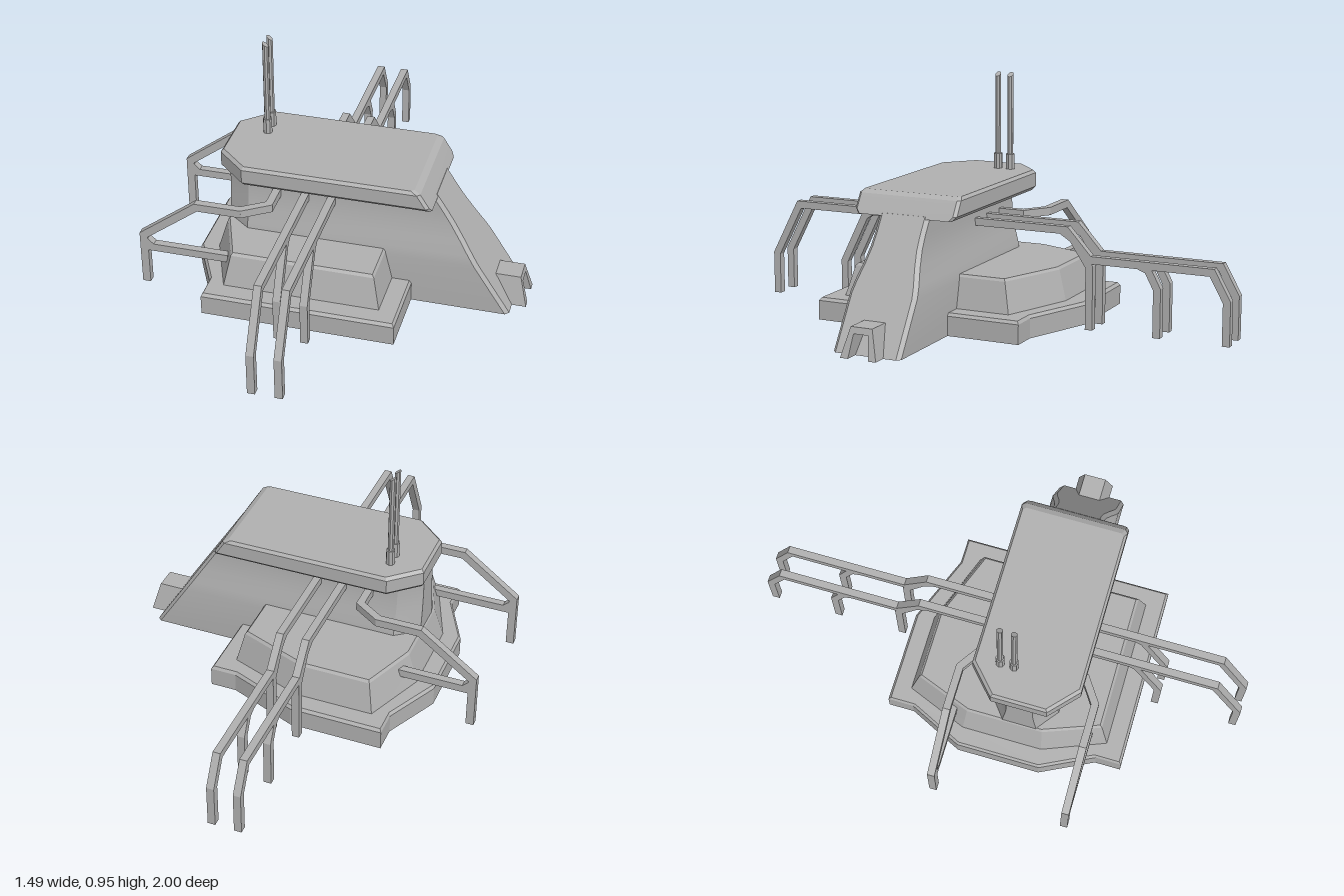
import * as THREE from 'three';
import { toCreasedNormals } from 'three/addons/utils/BufferGeometryUtils.js';

const MID = 0.165; // z of the hull's centre line
const grey = new THREE.MeshStandardMaterial({ color: 0xb0b0b0 });
grey.name = 'hull grey';

function add(parent, name, geometry) {
  const mesh = new THREE.Mesh(geometry, grey);
  mesh.name = name;
  parent.add(mesh);
  return mesh;
}

// Solid from stacked rings of [x, y, z], listed front-left, front-right, back-right, back-left
function loft(rings, crease = 0.35) {
  const pos = [];
  const tri = (a, b, c) => pos.push(...a, ...b, ...c);
  for (let k = 0; k < rings.length - 1; k++) {
    const lo = rings[k], hi = rings[k + 1], n = lo.length;
    for (let i = 0; i < n; i++) {
      const j = (i + 1) % n;
      tri(lo[i], lo[j], hi[j]);
      tri(lo[i], hi[j], hi[i]);
    }
  }
  const cap = (ring, up) => {
    const flat = ring.map(p => new THREE.Vector2(p[0], -p[2]));
    for (const [a, b, c] of THREE.ShapeUtils.triangulateShape(flat, [])) {
      if (up) tri(ring[a], ring[b], ring[c]);
      else tri(ring[a], ring[c], ring[b]);
    }
  };
  cap(rings[0], false);
  cap(rings[rings.length - 1], true);
  const g = new THREE.BufferGeometry();
  g.setAttribute('position', new THREE.Float32BufferAttribute(pos, 3));
  return toCreasedNormals(g, crease);
}

// Footprint of [x, z] points at height y, scaled about the deck centre
const level = (pts, y, s = 1) =>
  pts.map(([x, z]) => [-0.13 + (x + 0.13) * s, y, 0.1 + (z - 0.1) * s]);

// Symmetric hull outline with cut corners at both ends
function outline(y, half, left, cutX, cutZ, right, nip) {
  const f = MID + half, b = MID - half;
  return [
    [left, y, f - cutZ], [left + cutX, y, f], [right - nip, y, f], [right, y, f - nip],
    [right, y, b + nip], [right - nip, y, b], [left + cutX, y, b], [left, y, b + cutZ],
  ];
}

// Flat bar of thickness t along a 2D path with mitred corners, extruded to the given width
function bar(path, t = 0.032, width = 0.03) {
  const pts = path.map(p => new THREE.Vector2(...p));
  const left = [], right = [];
  pts.forEach((p, i) => {
    const d0 = pts[i].clone().sub(pts[Math.max(i - 1, 0)]).normalize();
    const d1 = pts[Math.min(i + 1, pts.length - 1)].clone().sub(p).normalize();
    if (i === 0) d0.copy(d1);
    if (i === pts.length - 1) d1.copy(d0);
    const n0 = new THREE.Vector2(-d0.y, d0.x);
    const m = n0.clone().add(new THREE.Vector2(-d1.y, d1.x)).normalize();
    m.multiplyScalar(t / 2 / m.dot(n0));
    left.push(p.clone().add(m));
    right.unshift(p.clone().sub(m));
  });
  const g = new THREE.ExtrudeGeometry(new THREE.Shape([...left, ...right]), { depth: width, bevelEnabled: false });
  return g.translate(0, 0, -width / 2);
}

export function createModel() {
  const model = new THREE.Group();
  model.name = 'walkerPlatform';

  // Low deck
  const deck = [[-0.56, 0.28], [-0.455, 0.49], [-0.455, 0.595], [0.305, 0.595], [0.305, -0.275],
    [0.2, -0.275], [-0.08, -0.385], [-0.455, -0.385], [-0.455, -0.28], [-0.56, -0.06]];
  add(model, 'deck', loft([level(deck, 0), level(deck, 0.078), level(deck, 0.09, 0.98)], 0.1));

  // Raised step with sloped sides
  const stepLow = [[-0.49, 0.27], [-0.39, 0.52], [0.23, 0.52], [0.23, -0.2], [-0.07, -0.31],
    [-0.39, -0.31], [-0.49, -0.06]];
  const stepHigh = [[-0.45, 0.26], [-0.365, 0.485], [0.2, 0.485], [0.2, -0.17], [-0.08, -0.275],
    [-0.365, -0.275], [-0.45, -0.05]];
  add(model, 'step', loft([level(stepLow, 0.08), level(stepHigh, 0.21), level(stepHigh, 0.22, 0.975)], 0.1));

  // Hull: flared flanks and raked end
  const sections = [[0, 0.142], [0.2, 0.142], [0.24, 0.135], [0.3, 0.12], [0.36, 0.109], [0.41, 0.106], [0.475, 0.106]];
  add(model, 'hull', loft(sections.map(([y, half]) =>
    outline(y, half, -0.445, 0.09, half * 0.5, 0.69 - y * 0.64, 0.015)), 0.4));

  // Overhanging roof
  add(model, 'roof', loft([
    outline(0.465, 0.2, -0.45, 0.11, 0.1, 0.39, 0.01),
    outline(0.482, 0.217, -0.46, 0.115, 0.105, 0.381, 0.012),
    outline(0.538, 0.217, -0.46, 0.115, 0.105, 0.346, 0.012),
    outline(0.55, 0.207, -0.45, 0.112, 0.102, 0.322, 0.012),
  ], 0.1));

  // Arched dock at the raked end
  const arch = new THREE.Shape([[0.075, 0], [0.045, 0.115], [-0.045, 0.115], [-0.075, 0],
    [-0.042, 0], [-0.03, 0.09], [0.03, 0.09], [0.042, 0]].map(p => new THREE.Vector2(...p)));
  const dock = new THREE.ExtrudeGeometry(arch, { depth: 0.145, bevelEnabled: false });
  dock.rotateY(Math.PI / 2).translate(0.6, 0, MID);
  const dp = dock.attributes.position;
  for (let i = 0; i < dp.count; i++) {
    if (dp.getX(i) > 0.7) dp.setX(i, 0.745 - dp.getY(i) * 0.26);
  }
  dock.computeVertexNormals();
  add(model, 'dock', dock);

  // Twin masts with slanted tips
  for (const z of [0.053, 0.108]) {
    add(model, 'mastSocket', toCreasedNormals(new THREE.CylinderGeometry(0.018, 0.018, 0.07, 8), 0.3))
      .position.set(-0.323, 0.577, z);
    const rod = new THREE.CylinderGeometry(0.0125, 0.0125, 0.4, 8).translate(0, 0.737, 0);
    const p = rod.attributes.position;
    for (let i = 0; i < p.count; i++) {
      if (p.getY(i) > 0.8) p.setY(i, 0.937 - p.getX(i) * 0.7);
    }
    add(model, 'mast', toCreasedNormals(rod, 0.3)).position.set(-0.323, 0, z);
  }

  // Side gantries, drawn as [z, y] paths
  const gantry = {
    frontBeam: [[0.16, 0.386], [0.872, 0.386], [0.985, 0.17], [0.985, 0]],
    frontInnerLeg: [[0.53, 0.386], [0.56, 0.366], [0.657, 0.17], [0.657, 0]],
    rearBeam: [[0.16, 0.386], [-0.332, 0.386], [-0.43, 0.278], [-0.925, 0.278], [-0.985, 0.17], [-0.985, 0]],
    rearInnerLeg: [[-0.31, 0.386], [-0.36, 0.355], [-0.43, 0.25], [-0.43, 0]],
    rearMiddleLeg: [[-0.63, 0.278], [-0.67, 0.262], [-0.708, 0.19], [-0.708, 0]],
  };
  for (const x of [-0.127, -0.022]) {
    for (const [name, path] of Object.entries(gantry)) {
      add(model, name, bar(path, 0.03).rotateY(-Math.PI / 2).translate(x, 0, 0));
    }
  }

  // End arms, mirrored about the hull's centre line
  for (const side of [1, -1]) {
    const z = MID + side * 0.274;
    add(model, 'arm', bar([[-0.33, 0.386], [-0.51, 0.386], [-0.73, 0.22], [-0.73, 0]]).translate(0, 0, z));
    add(model, 'armStrut', bar([[-0.73, 0.168], [-0.39, 0.168]]).translate(0, 0, z));
    add(model, 'armGusset', bar([[-0.728, 0.205], [-0.69, 0.17]], 0.02).translate(0, 0, z));
    const bend = bar([[-0.36, z], [-0.335, z], [-0.24, MID + side * 0.21], [-0.24, MID + side * 0.08]], 0.03, 0.032);
    add(model, 'armRoot', bend.rotateX(Math.PI / 2).translate(0, 0.386, 0));
  }
  return model;
}
